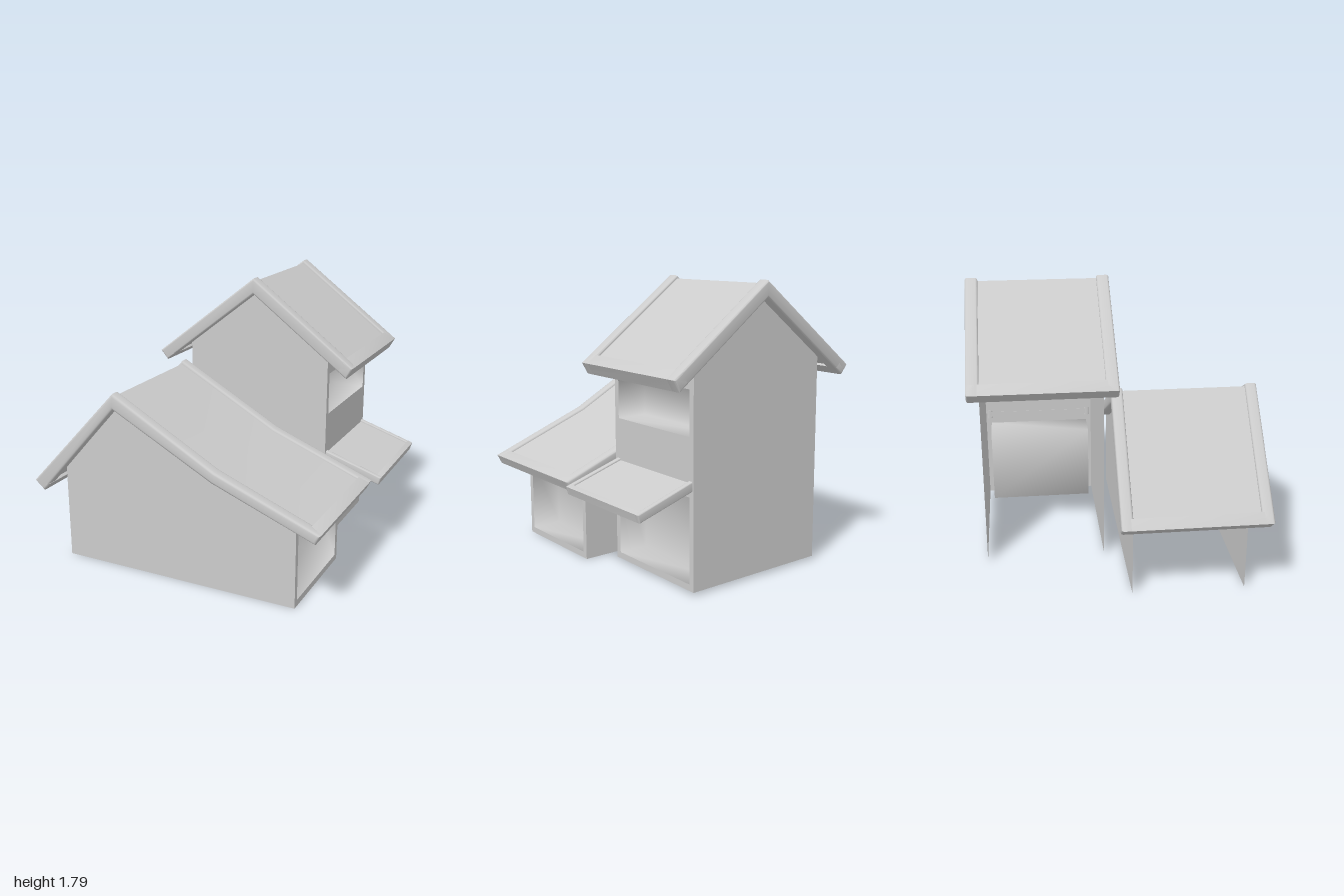
import * as THREE from 'three';
import { mergeVertices, toCreasedNormals } from 'three/addons/utils/BufferGeometryUtils.js';

const solid = new THREE.MeshStandardMaterial({ color: 0xcccccc });
const thin = new THREE.MeshStandardMaterial({ color: 0xcccccc, side: THREE.DoubleSide });

const toShape = (pts) => new THREE.Shape(pts.map(([x, y]) => new THREE.Vector2(x, y)));

function addMesh(parent, name, geometry, material = solid) {
  const mesh = new THREE.Mesh(geometry, material);
  mesh.name = name;
  parent.add(mesh);
  return mesh;
}

// Outline in x/y, extruded from z0 to z1 with softly rounded edges kept inside the outline
function slab(pts, z0, z1, bevel) {
  const g = new THREE.ExtrudeGeometry(toShape(pts), {
    depth: z1 - z0 - 2 * bevel, bevelEnabled: bevel > 0, bevelThickness: bevel,
    bevelSize: bevel, bevelOffset: -bevel, bevelSegments: 3,
  });
  g.translate(0, 0, z0 + bevel);
  return toCreasedNormals(g, 0.6);
}

// Sunken roof panel framed by thicker rims; top and bottom run along the same roof line
function roof(name, { top, bottom, z0, z1, rim, bevel, eaves }) {
  const group = new THREE.Group();
  group.name = name;
  const mix = (t) => top.map(([x, y], i) => [x + (bottom[i][0] - x) * t, y + (bottom[i][1] - y) * t]);

  // gable rims
  const outline = [...top, ...[...bottom].reverse()];
  addMesh(group, 'frontRim', slab(outline, z1 - rim, z1, bevel));
  addMesh(group, 'backRim', slab(outline, z0, z0 + rim, bevel));

  // panel
  const panel = [...mix(0.2), ...mix(0.8).reverse()];
  addMesh(group, 'roofPanel', slab(panel, z0 + rim / 2, z1 - rim / 2, 0));

  // eave rims along the low ends
  for (const [end, next] of eaves) {
    const [x, y] = top[end];
    const dir = new THREE.Vector2(top[next][0] - x, top[next][1] - y).setLength(rim);
    const [bx, by] = bottom[end];
    const quad = [[x, y], [x + dir.x, y + dir.y], [bx + dir.x, by + dir.y], [bx, by]];
    addMesh(group, 'eaveRim', slab(quad, z0, z1, bevel));
  }
  return group;
}

// Box open towards +x, with shared smooth normals
function recessGeometry(x, y0, y1, z0, z1, depth) {
  let g = new THREE.BoxGeometry(depth, y1 - y0, z1 - z0);
  g.setIndex(Array.from(g.index.array).slice(6));
  g.deleteAttribute('normal');
  g.deleteAttribute('uv');
  g.clearGroups();
  g = mergeVertices(g);
  g.computeVertexNormals();
  g.translate(x - depth / 2, (y0 + y1) / 2, (z0 + z1) / 2);
  return g;
}

// Two thin gable walls and an end wall with recessed openings; the other end stays open
function house(name, { gable, z0, z1, endX, y0, y1, openings, frame, depth }) {
  const group = new THREE.Group();
  group.name = name;
  for (const [label, z] of [['frontWall', z1], ['backWall', z0]]) {
    addMesh(group, label, new THREE.ShapeGeometry(toShape(gable)), thin).position.z = z;
  }
  const wall = toShape([[-z1, y0], [-z0, y0], [-z0, y1], [-z1, y1]]);
  for (const [a, b] of openings) {
    const l = -z1 + frame, r = -z0 - frame;
    wall.holes.push(toShape([[l, a], [l, b], [r, b], [r, a]]));
    addMesh(group, 'recess', recessGeometry(endX, a, b, z0 + frame, z1 - frame, depth), thin);
  }
  const end = addMesh(group, 'endWall', new THREE.ShapeGeometry(wall), thin);
  end.rotation.y = Math.PI / 2;
  end.position.x = endX;
  return group;
}

export function createModel() {
  const model = new THREE.Group();
  model.name = 'twinHouse';

  // low front house
  model.add(house('frontHouse', {
    gable: [[-0.83, 0], [0.77, 0], [0.77, 0.58], [0.29, 0.77], [-0.38, 1.12], [-0.83, 0.62]],
    z0: 0.07, z1: 0.78, endX: 0.77, y0: 0, y1: 0.58,
    openings: [[0.04, 0.53]], frame: 0.035, depth: 0.2,
  }));
  model.add(roof('frontRoof', {
    top: [[-1.0, 0.54], [-0.38, 1.2], [0.3, 0.82], [0.96, 0.56]],
    bottom: [[-0.93, 0.48], [-0.38, 1.1], [0.28, 0.75], [0.93, 0.5]],
    z0: -0.02, z1: 0.9, rim: 0.075, bevel: 0.016, eaves: [[0, 1], [3, 2]],
  }));

  // tall back house
  model.add(house('backHouse', {
    gable: [[-0.36, 0.02], [0.62, 0.02], [0.62, 1.34], [0.13, 1.71], [-0.36, 1.33]],
    z0: -0.83, z1: -0.06, endX: 0.62, y0: 0.02, y1: 1.33,
    openings: [[0.06, 0.58], [0.93, 1.2]], frame: 0.037, depth: 0.2,
  }));
  model.add(roof('backRoof', {
    top: [[-0.56, 1.25], [0.13, 1.79], [0.81, 1.28]],
    bottom: [[-0.51, 1.19], [0.13, 1.69], [0.77, 1.21]],
    z0: -0.9, z1: 0.02, rim: 0.08, bevel: 0.012, eaves: [[0, 1], [2, 1]],
  }));

  // awning over the lower opening
  model.add(roof('awning', {
    top: [[0.61, 0.68], [1.0, 0.555]],
    bottom: [[0.61, 0.62], [0.985, 0.505]],
    z0: -0.82, z1: -0.075, rim: 0.035, bevel: 0.008, eaves: [[1, 0]],
  }));

  return model;
}
